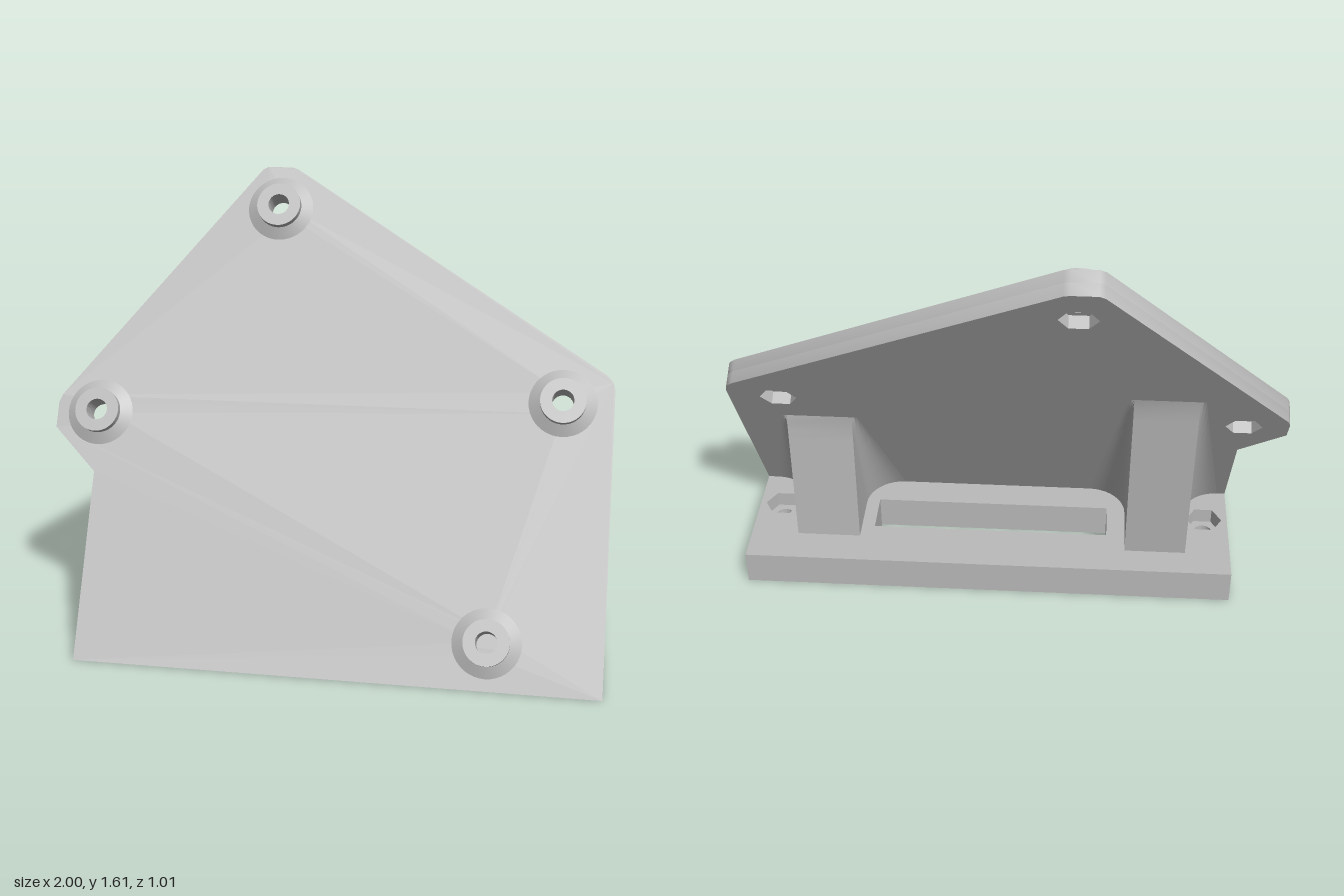
import * as THREE from 'three';
import { toCreasedNormals } from 'three/addons/utils/BufferGeometryUtils.js';

const TILT = Math.PI / 6, TAN = Math.tan(TILT), COS = Math.cos(TILT);
const THICK = 0.092, BASE_H = 0.13, FRONT = 0.5;
const BACK = FRONT - THICK / COS;              // plate back face at floor level
const plateBackZ = (y) => BACK - y * TAN;

const gray = new THREE.MeshStandardMaterial({ color: 0xbababa });
gray.name = 'gray plastic';

function mesh(geo, name) {
  const m = new THREE.Mesh(toCreasedNormals(geo, 0.6), gray);
  m.name = name;
  return m;
}

function roundHole(x, y, r) {
  const p = new THREE.Path();
  p.absarc(x, y, r, 0, Math.PI * 2, true);
  return p;
}

function polyHole(points) {
  return new THREE.Path(points.map(([x, y]) => new THREE.Vector2(x, y)));
}

function hexHole(x, y, r) {
  return polyHole([0, 1, 2, 3, 4, 5].map((i) => {
    const a = -i * Math.PI / 3;
    return [x + r * Math.cos(a), y + r * Math.sin(a)];
  }));
}

// flat layer with holes, from z0 to z0 + depth
function layer(outline, holes, z0, depth) {
  const s = new THREE.Shape(outline.map(([x, y]) => new THREE.Vector2(x, y)));
  s.holes.push(...holes);
  const g = new THREE.ExtrudeGeometry(s, { depth, bevelEnabled: false, curveSegments: 32 });
  return g.translate(0, 0, z0);
}

// apply a rule to every vertex
function bend(geo, rule) {
  const p = geo.attributes.position, v = new THREE.Vector3();
  for (let i = 0; i < p.count; i++) {
    rule(v.fromBufferAttribute(p, i));
    p.setXYZ(i, v.x, v.y, v.z);
  }
  return geo;
}

// leaning plate with four bosses and nut pockets behind
function buildPlate() {
  const g = new THREE.Group();
  g.name = 'leaningPlate';
  const outline = [
    [-0.84, 0], [1, 0], [1, 0.92], [0.993, 0.945], [0.97, 0.967],
    [-0.19, 1.6], [-0.21, 1.605], [-0.3, 1.605], [-0.32, 1.595],
    [-0.99, 0.825], [-1, 0.8], [-1, 0.72], [-0.84, 0.585],
  ].map(([x, y]) => [x, y / COS]);
  const spots = [[-0.24, 1.692], [-0.84, 0.895], [0.822, 1.01], [0.605, 0.162]];
  const R = 0.038, half = 0.045;
  const floorCut = (v) => { if (v.y < 1e-4) v.y = -v.z * TAN; };

  const front = layer(outline, spots.map(([x, y]) => roundHole(x, y, R)), -half, half);
  g.add(mesh(bend(front, floorCut), 'plateFront'));
  const pockets = spots.map(([x, y], i) => (i === 3 ? roundHole(x, y, R) : hexHole(x, y, 0.066)));
  const back = layer(outline, pockets, -THICK, THICK - half);
  g.add(mesh(bend(back, floorCut), 'plateBack'));

  const profile = [[0.12, 0], [0.08, 0.023], [0.08, 0.05], [R, 0.05], [R, 0]]
    .map(([r, h]) => new THREE.Vector2(r, h));
  for (const [x, y] of spots) {
    const boss = mesh(new THREE.LatheGeometry(profile, 40).rotateX(Math.PI / 2), 'boss');
    boss.position.set(x, y, 0);
    g.add(boss);
  }
  g.rotation.x = -TILT;
  g.position.z = FRONT;
  return g;
}

// foot with a long slot and two screw holes with nut pockets
function buildBase() {
  const g = new THREE.Group();
  g.name = 'base';
  const outline = [[-0.84, -BACK], [1, -BACK], [1, 0.155], [-0.84, 0.155]];
  const slot = () => polyHole([[-0.37, -0.2], [-0.37, -0.04], [0.53, -0.04], [0.53, -0.2]]);
  const screws = [[0.91, -0.155], [-0.75, -0.155]];
  const lean = (v) => { if (v.z > 0.35) v.z = plateBackZ(v.y); };
  const add = (holes, y0, h, name) => {
    const geo = layer(outline, [slot(), ...holes], y0, h).rotateX(-Math.PI / 2);
    g.add(mesh(bend(geo, lean), name));
  };
  add(screws.map(([x, y]) => roundHole(x, y, 0.034)), 0, 0.07, 'baseLower');
  add(screws.map(([x, y]) => hexHole(x, y, 0.068)), 0.07, BASE_H - 0.07, 'baseUpper');
  return g;
}

// tapering brace whose sides flare into the plate
function buildBrace(x0, x1, rearZ, top, name) {
  const ROWS = 16, ARC = 10, pos = [], idx = [];
  const cx = (x0 + x1) / 2, hw = (x1 - x0) / 2;
  for (let j = 0; j <= ROWS; j++) {
    const t = j / ROWS, y = THREE.MathUtils.lerp(BASE_H - 0.005, top, t);
    const zp = plateBackZ(y);
    const zr = THREE.MathUtils.lerp(rearZ, plateBackZ(top), t);
    const depth = zp - zr, R = 0.02 + 0.12 * (1 - t);
    const side = [[hw, depth]];
    for (let k = 0; k <= ARC; k++) {
      const a = (k / ARC) * Math.PI / 2;
      side.push([hw + R * (1 - Math.cos(a)), Math.min(depth, R * (1 - Math.sin(a)))]);
    }
    const mirrored = side.map(([w, d]) => [-w, d]).reverse();
    for (const [w, d] of [...mirrored, ...side]) pos.push(cx + w, y, zp - d);
  }
  const n = 2 * (ARC + 2);
  for (let j = 0; j < ROWS; j++) {
    for (let i = 0; i < n - 1; i++) {
      const a = j * n + i, b = a + 1, c = a + n, d = c + 1;
      idx.push(a, c, b, b, c, d);
    }
  }
  const geo = new THREE.BufferGeometry();
  geo.setAttribute('position', new THREE.Float32BufferAttribute(pos, 3));
  geo.setIndex(idx);
  return mesh(geo, name);
}

export function createModel() {
  const model = new THREE.Group();
  model.name = 'angledBracket';
  model.add(
    buildPlate(),
    buildBase(),
    buildBrace(0.58, 0.82, -0.02, 0.69, 'leftBrace'),
    buildBrace(-0.67, -0.44, -0.043, 0.905, 'rightBrace'),
  );
  return model;
}
